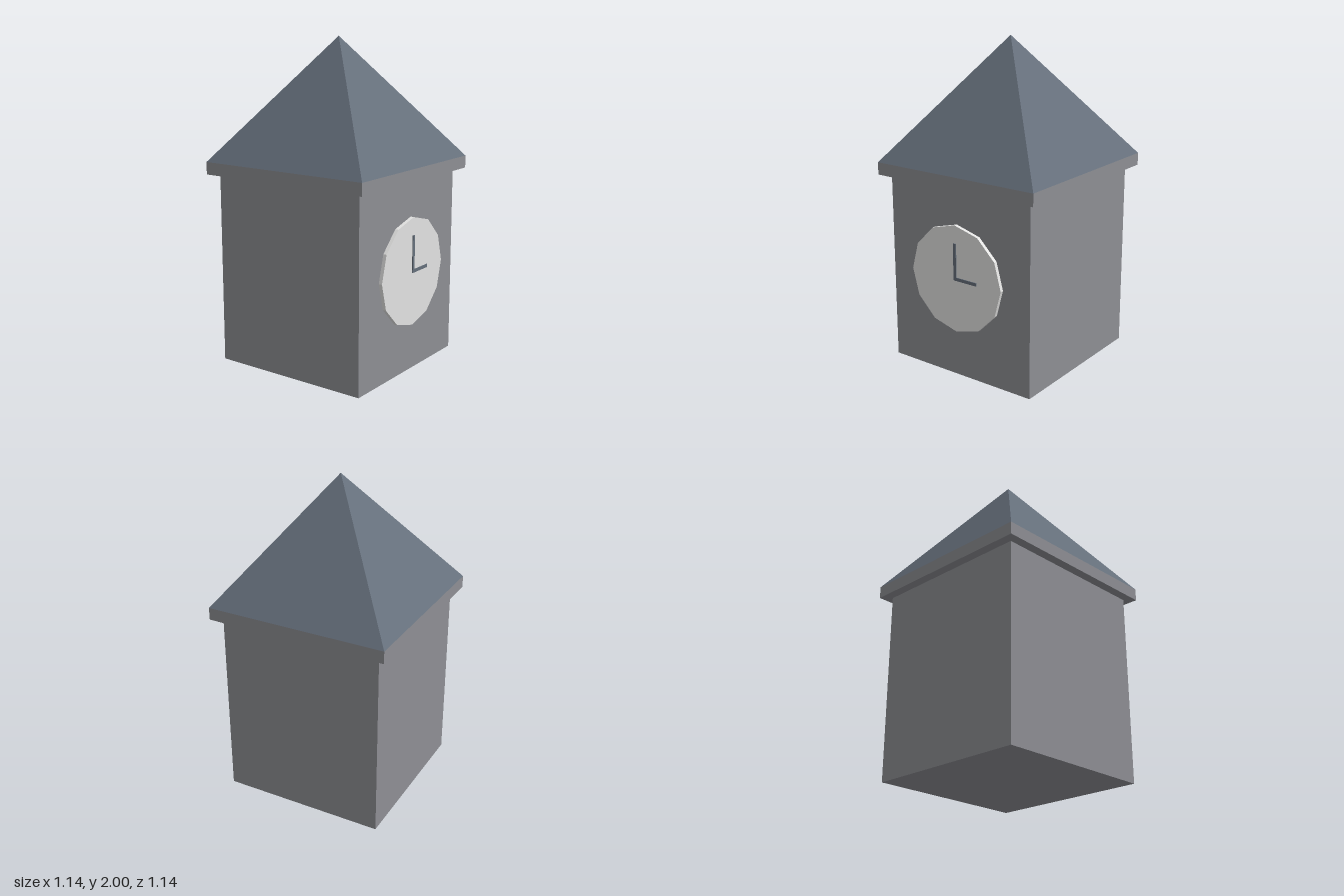
import * as THREE from 'three';

export function createModel() {
  const model = new THREE.Group();
  model.name = 'clockTower';

  const material = (name, color) => {
    const m = new THREE.MeshStandardMaterial({ color });
    m.name = name;
    return m;
  };
  const stone = material('stone grey', 0x8e8f94);
  const slate = material('slate blue', 0x66707c);
  const white = material('dial white', 0xe4e4e3);

  const add = (name, geometry, mat, x, y, z) => {
    const mesh = new THREE.Mesh(geometry, mat);
    mesh.name = name;
    mesh.position.set(x, y, z);
    model.add(mesh);
    return mesh;
  };
  const box = (name, w, h, d, mat, x, y, z) =>
    add(name, new THREE.BoxGeometry(w, h, d), mat, x, y, z);

  // Square tower with an overhanging cornice
  box('towerBody', 1.024, 1.18, 1.024, stone, 0, 0.59, 0);
  box('cornice', 1.138, 0.076, 1.138, stone, 0, 1.218, 0);

  // Four-sided roof, turned so its edges meet the cornice corners
  const roof = new THREE.ConeGeometry(0.569 * Math.SQRT2, 0.744, 4)
    .rotateY(Math.PI / 4).toNonIndexed();
  roof.computeVertexNormals();
  add('roof', roof, slate, 0, 1.628, 0);

  // Twelve-sided dial standing just off the front wall
  const dial = new THREE.CylinderGeometry(0.332, 0.332, 0.022, 12)
    .rotateX(Math.PI / 2).toNonIndexed();
  dial.computeVertexNormals();
  add('clockDial', dial, white, 0, 0.63, 0.534);

  // Hands at three o'clock
  box('minuteHand', 0.02, 0.228, 0.006, slate, 0, 0.738, 0.547);
  box('hourHand', 0.16, 0.02, 0.005, slate, 0.077, 0.633, 0.547);

  return model;
}
